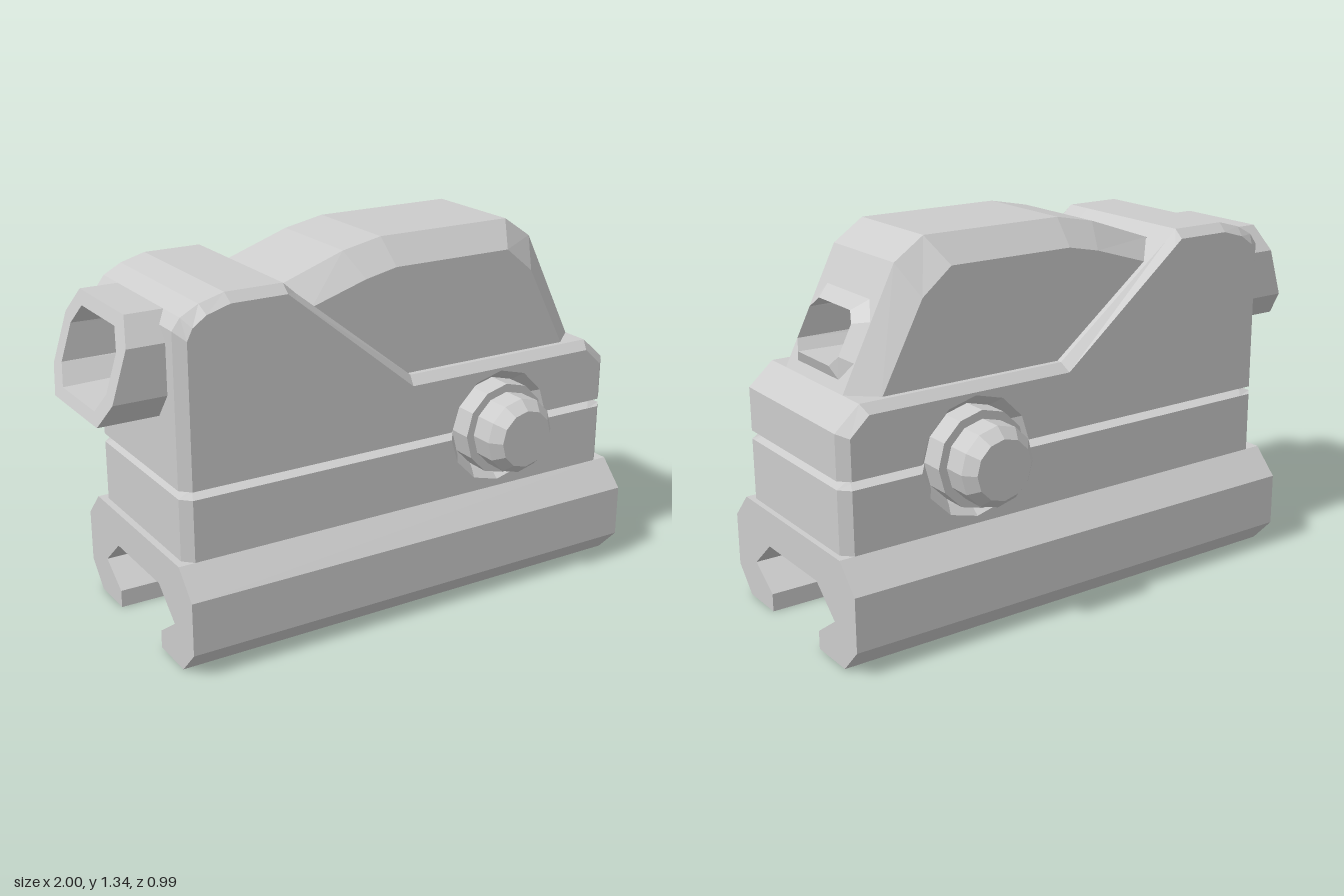
import * as THREE from 'three';

const gunmetal = new THREE.MeshStandardMaterial({ color: 0xcccccc });
gunmetal.name = 'light grey';

function part(name, geometry) {
  const flat = geometry.index ? geometry.toNonIndexed() : geometry;
  flat.computeVertexNormals();
  const mesh = new THREE.Mesh(flat, gunmetal);
  mesh.name = name;
  return mesh;
}

// Faceted skin through closed rings of [x, y, z]; skip(ring, edge) leaves openings
function loft(rings, { caps = false, skip = () => false } = {}) {
  const pos = [];
  const tri = (a, b, c) => pos.push(...a, ...b, ...c);
  for (let i = 0; i < rings.length - 1; i++) {
    const n = rings[i].length;
    for (let j = 0; j < n; j++) {
      if (skip(i, j)) continue;
      const k = (j + 1) % n;
      tri(rings[i][j], rings[i][k], rings[i + 1][k]);
      tri(rings[i][j], rings[i + 1][k], rings[i + 1][j]);
    }
  }
  if (caps) {
    const first = rings[0], last = rings[rings.length - 1];
    const flat = last.map(p => new THREE.Vector2(p[0], p[1]));
    for (const [a, b, c] of THREE.ShapeUtils.triangulateShape(flat, [])) {
      tri(last[a], last[b], last[c]);
      tri(first[c], first[b], first[a]);
    }
  }
  const g = new THREE.BufferGeometry();
  g.setAttribute('position', new THREE.Float32BufferAttribute(pos, 3));
  return g;
}

// Mirror a half list of [z, outline] (outermost first) into rings from -z to +z
function mirrorRings(half) {
  const at = ([z, pts], s) => pts.map(([x, y]) => [x, y, s * z]);
  return [...half.map(h => at(h, -1)), ...[...half].reverse().map(h => at(h, 1))];
}

// Octagon around the sight line; x follows a sloped plane
function octagon(w, y0, y1, cz, cy, xAt) {
  return [
    [w - cz, y1], [cz - w, y1], [-w, y1 - cy], [-w, y0 + cy],
    [cz - w, y0], [w - cz, y0], [w, y0 + cy], [w, y1 - cy],
  ].map(([z, y]) => [xAt(y), y, z]);
}

const PIVOT = { x: 0.48, y: 0.61 };

// Half of the twelve-sided recess around the pivot, above (+1) or below (-1) the groove
function recess(r, grooveY, side) {
  const pts = [];
  for (let k = 0; k <= 6; k++) {
    const a = side > 0 ? Math.PI * (1 - k / 6) : -Math.PI * k / 6;
    const y = PIVOT.y + r * Math.sin(a);
    pts.push([PIVOT.x + r * Math.cos(a), side > 0 ? Math.max(grooveY, y) : Math.min(grooveY, y)]);
  }
  return pts;
}

function upperOutline(edgeY, grooveY, r) {
  return [
    [-0.785, edgeY], [-0.735, grooveY], ...recess(r, grooveY, 1), [0.93, grooveY], [0.98, edgeY],
    [0.98, 0.78], [0.89, 0.86], [0.11, 0.86], [-0.345, 1.22], [-0.39, 1.26],
    [-0.6, 1.26], [-0.69, 1.235], [-0.755, 1.2], [-0.785, 1.16],
  ];
}

function lowerOutline(grooveY, r, x0 = -0.785, x1 = 0.98, inset = 0.05) {
  return [
    [x0, 0.375], [x1, 0.375], [x1, 0.595], [x1 - inset, grooveY],
    ...recess(r, grooveY, -1), [x0 + inset, grooveY], [x0, 0.595],
  ];
}

export function createModel() {
  const model = new THREE.Group();
  model.name = 'opticalSight';

  // Clamp that grips the rail
  const half = [[0.17, 0], [0.34, 0], [0.425, 0.09], [0.425, 0.28], [0.335, 0.375]];
  const inner = [[0.17, 0.245], [0.285, 0.145], [0.17, 0.065]];
  const flip = list => list.map(([z, y]) => [-z, y]).reverse();
  const clamp = new THREE.Shape(
    [...half, ...flip(half), ...flip(inner), ...inner].map(p => new THREE.Vector2(...p)));
  const clampGeo = new THREE.ExtrudeGeometry(clamp, { depth: 1.81, bevelEnabled: false });
  clampGeo.rotateY(Math.PI / 2).translate(-0.81, 0, 0);
  model.add(part('railClamp', clampGeo));

  // Lower housing, bevelled corners and lower half of the groove
  model.add(part('lowerHousing', loft(mirrorRings([
    [0.335, lowerOutline(0.595, 0.21, -0.75, 0.945, 0.045)],
    [0.3, lowerOutline(0.604, 0.182)],
    [0.28, lowerOutline(0.61, 0.17)],
  ]), { caps: true })));

  // Upper housing, open at the middle where the sight channel passes
  const sideFace = [
    [-0.75, 0.625], [-0.7, 0.625], ...recess(0.21, 0.625, 1), [0.9, 0.625], [0.945, 0.625],
    [0.945, 0.765], [0.875, 0.83], [0.1, 0.83], [-0.36, 1.205], [-0.39, 1.23],
    [-0.595, 1.23], [-0.68, 1.205], [-0.73, 1.17], [-0.75, 1.13],
  ];
  model.add(part('upperHousing', loft(mirrorRings([
    [0.335, sideFace],
    [0.3, upperOutline(0.625, 0.616, 0.182)],
    [0.28, upperOutline(0.625, 0.61, 0.17)],
    [0.2, upperOutline(0.625, 0.61, 0.17)],
  ]), { caps: true, skip: (i, j) => i === 3 && (j === 13 || j === 19) })));

  // Hood with chamfered roof, open below and at the window
  const hoodSide = [[-0.27, 1.155], [0.1, 0.85], [0.8, 0.85], [0.64, 1.155],
    [0.53, 1.245], [0.06, 1.245], [-0.06, 1.22]];
  const hoodMiddle = [[-0.345, 1.22], [0.1, 0.85], [0.895, 0.85], [0.69, 1.26],
    [0.58, 1.335], [0.05, 1.335], [-0.1, 1.305]];
  model.add(part('hood', loft(mirrorRings([[0.28, hoodSide], [0.195, hoodMiddle]]),
    { caps: true, skip: (i, j) => j < 2 || (i === 1 && j === 2) })));

  // Eyepiece, sight channel, window frame and hood front as one skin
  const eyePlane = y => -1 + (y - 0.845) * 0.31;
  const hoodPlane = y => 0.69 + (1.26 - y) * 0.5;
  const eyeHole = xAt => octagon(0.19, 0.885, 1.155, 0.055, 0.07, xAt);
  model.add(part('sightChannel', loft([
    octagon(0.25, 0.845, 1.2, 0.07, 0.09, () => -0.72),
    octagon(0.25, 0.845, 1.2, 0.07, 0.09, eyePlane),
    eyeHole(eyePlane),
    octagon(0.14, 0.935, 1.105, 0.035, 0.035, y => hoodPlane(y) + 0.035),
    octagon(0.19, 0.895, 1.14, 0.05, 0.06, hoodPlane),
    octagon(0.195, 0.85, 1.26, 0, 0, hoodPlane),
  ])));

  // Rear wall around the channel
  model.add(part('rearWall', loft([
    octagon(0.2, 0.625, 1.16, 0, 0, () => -0.785),
    eyeHole(() => -0.785),
  ])));

  // Pivot knobs on both sides
  const knob = [[0.17, 0.2], [0.17, 0.37], [0.14, 0.37], [0.14, 0.455], [0.105, 0.495], [0, 0.495]]
    .map(p => new THREE.Vector2(...p));
  for (const side of [1, -1]) {
    const mesh = part(side > 0 ? 'frontKnob' : 'backKnob', new THREE.LatheGeometry(knob, 12));
    mesh.rotation.x = side * Math.PI / 2;
    mesh.position.set(PIVOT.x, PIVOT.y, 0);
    model.add(mesh);
  }
  return model;
}
